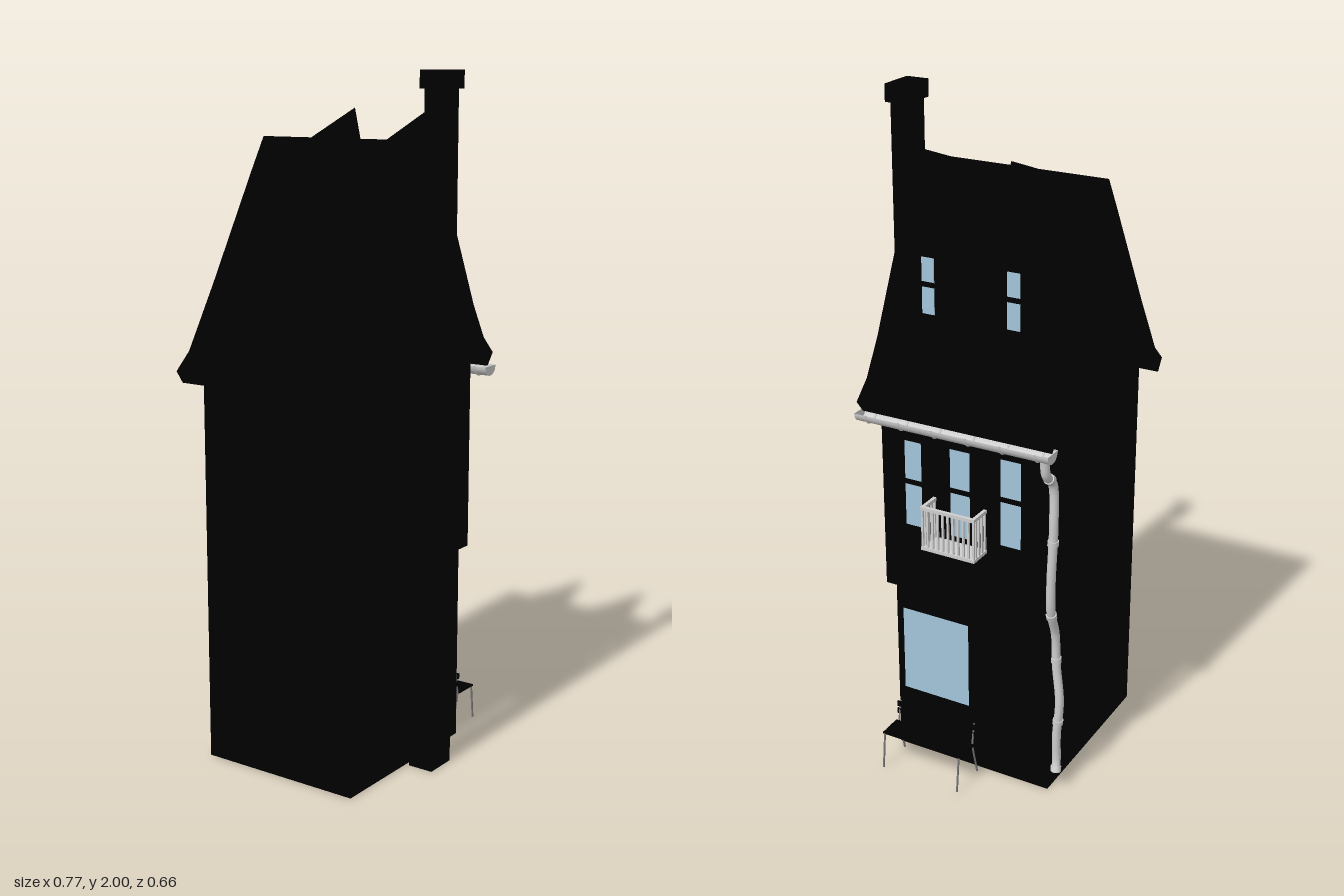
import * as THREE from 'three';

const mat = (name, color, side = THREE.FrontSide) => {
  const m = new THREE.MeshStandardMaterial({ color, side });
  m.name = name;
  return m;
};

export function createModel() {
  const house = new THREE.Group();
  house.name = 'townhouse';
  const black = mat('black masonry', 0x000000);
  const glass = mat('pale blue glass', 0xa3c4da);
  const metal = mat('light grey metal', 0xcfcfcf, THREE.DoubleSide);
  const iron = mat('dark grey iron', 0x777777);

  const add = (name, geo, material, parent = house) => {
    const m = new THREE.Mesh(geo, material);
    m.name = name;
    parent.add(m);
    return m;
  };
  // Box given by its min and max on each axis
  const box = (name, material, x0, x1, y0, y1, z0, z1, parent) =>
    add(name, new THREE.BoxGeometry(x1 - x0, y1 - y0, z1 - z0)
      .translate((x0 + x1) / 2, (y0 + y1) / 2, (z0 + z1) / 2), material, parent);
  const shapeOf = pts => new THREE.Shape(pts.map(p => new THREE.Vector2(...p)));
  const extrude = (shape, depth) => new THREE.ExtrudeGeometry(shape, { depth, bevelEnabled: false });
  // Straight round bar between two points
  const bar = (name, a, b, r, material, parent) => {
    const p = new THREE.Vector3(...a), q = new THREE.Vector3(...b), d = q.clone().sub(p);
    const m = add(name, new THREE.CylinderGeometry(r, r, d.length(), 8), material, parent);
    m.position.copy(p).add(q).multiplyScalar(0.5);
    m.quaternion.setFromUnitVectors(new THREE.Vector3(0, 1, 0), d.normalize());
    return m;
  };
  // Wall plate facing +x, pierced by openings [z0, z1, y0, y1]
  const facade = (name, x0, x1, y0, y1, z0, z1, openings) => {
    const s = shapeOf([[-z1, y0], [-z0, y0], [-z0, y1], [-z1, y1]]);
    for (const [a, b, c, d] of openings) {
      s.holes.push(new THREE.Path([[-b, c], [-b, d], [-a, d], [-a, c]].map(p => new THREE.Vector2(...p))));
    }
    add(name, extrude(s, x1 - x0).rotateY(Math.PI / 2).translate(x0, 0, 0), black);
  };

  // Main body with gables and jettied upper storey
  const Z0 = -0.283, Z1 = 0.228;
  add('body', extrude(shapeOf([
    [-0.32, 0], [0.2, 0], [0.2, 0.59], [0.26, 0.59], [0.26, 1.2], [0.21, 1.32],
    [0.02, 1.77], [-0.2, 1.39], [-0.32, 1.2],
  ]), Z1 - Z0).translate(0, 0, Z0), black);

  // Ground floor front: shop window and recessed door
  const shop = [-0.016, 0.212, 0.2, 0.483], door = [-0.19, -0.07, 0.02, 0.46];
  facade('groundFloorFront', 0.2, 0.24, 0, 0.59, Z0, Z1, [shop, door]);
  box('shopGlass', glass, 0.225, 0.232, 0.2, 0.483, -0.016, 0.212);
  box('door', black, 0.2, 0.208, 0.02, 0.46, -0.19, -0.07);
  for (const y of [0.06, 0.26]) box('doorPanel', black, 0.208, 0.213, y, y + 0.16, -0.17, -0.09);

  // Upper floor front with three sash windows
  const sashes = [
    [0.1, 0.166, 0.79, 1.065, 0.93],
    [-0.056, 0.018, 0.79, 1.07, 0.935],
    [-0.217, -0.143, 0.8, 1.075, 0.945],
  ];
  facade('upperFloorFront', 0.26, 0.292, 0.59, 1.16, -0.278, Z1, sashes);
  for (const [a, b, c, d, rail] of sashes) {
    box('upperGlass', glass, 0.265, 0.273, c, d, a, b);
    box('sashRail', black, 0.272, 0.28, rail - 0.006, rail + 0.006, a, b);
  }

  // Flared main roof
  add('mainRoof', extrude(shapeOf([
    [-0.385, 1.17], [-0.36, 1.133], [-0.32, 1.17], [-0.2, 1.36], [0.02, 1.75], [0.22, 1.31], [0.28, 1.19],
    [0.325, 1.143], [0.354, 1.18], [0.3, 1.232], [0.24, 1.335], [0.02, 1.81], [-0.04, 1.71], [-0.22, 1.4], [-0.33, 1.22],
  ]), 0.594).translate(0, 0, -0.327), black);

  // Two steep dormers
  for (const z of [0.1, -0.163]) {
    const dormer = new THREE.Group();
    dormer.name = 'dormer';
    dormer.position.z = z;
    house.add(dormer);
    add('dormerBody', extrude(shapeOf([
      [-0.05, 1.32], [0.05, 1.32], [0.05, 1.58], [0, 1.7], [-0.05, 1.58],
    ]), 0.185).rotateY(Math.PI / 2).translate(0.05, 0, 0), black, dormer);
    // Concave spire-like roof whose ridge rises towards the front
    const roof = extrude(shapeOf([
      [-0.075, 1.57], [-0.055, 1.565], [-0.028, 1.63], [0, 1.7], [0.028, 1.63], [0.055, 1.565], [0.075, 1.57],
      [0.04, 1.69], [0.02, 1.8], [0, 1.89], [-0.02, 1.8], [-0.04, 1.69],
    ]), 0.23).rotateY(Math.PI / 2).translate(0.022, 0, 0);
    const p = roof.attributes.position;
    for (let i = 0; i < p.count; i++) {
      const y = p.getY(i);
      p.setY(i, y - (0.252 - p.getX(i)) * 0.37 * Math.max(0, (y - 1.57) / 0.32));
    }
    roof.computeVertexNormals();
    add('dormerRoof', roof, black, dormer);
    box('dormerGlass', glass, 0.234, 0.238, 1.43, 1.59, -0.019, 0.019, dormer);
    box('dormerRail', black, 0.237, 0.241, 1.508, 1.522, -0.02, 0.02, dormer);
  }

  // Chimney stack standing beside the gable
  box('chimneyBase', black, -0.04, 0.06, 0, 1.15, 0.24, 0.318);
  box('chimneyStack', black, -0.04, 0.06, 1.15, 1.96, 0.23, 0.318).name = 'chimneyShoulder';
  house.getObjectByName('chimneyShoulder').geometry = new THREE.BoxGeometry(0.1, 0.81, 0.046).translate(0.01, 1.555, 0.295);
  box('chimneyCap', black, -0.046, 0.069, 1.95, 2, 0.26, 0.33);

  // Balcony
  const balcony = new THREE.Group();
  balcony.name = 'balcony';
  house.add(balcony);
  const bx0 = 0.29, bx1 = 0.364, by0 = 0.775, by1 = 0.91, bz0 = -0.11, bz1 = 0.062;
  box('balconyFloor', metal, bx0, bx1, by0, by0 + 0.01, bz0, bz1, balcony);
  box('frontRail', metal, bx1 - 0.01, bx1, by1 - 0.01, by1, bz0, bz1, balcony);
  for (const z of [bz0, bz1 - 0.01]) box('sideRail', metal, bx0, bx1, by1 - 0.01, by1, z, z + 0.01, balcony);
  for (let i = 0; i <= 10; i++) {
    const z = bz0 + 0.004 + i * (bz1 - bz0 - 0.008) / 10;
    box('baluster', metal, bx1 - 0.008, bx1 - 0.002, by0, by1, z - 0.003, z + 0.003, balcony);
  }
  for (const z of [bz0 + 0.005, bz1 - 0.005]) for (let i = 0; i < 4; i++) {
    const x = bx0 + 0.005 + i * 0.017;
    box('sideBaluster', metal, x - 0.003, x + 0.003, by0, by1, z - 0.003, z + 0.003, balcony);
  }

  // Half-round gutter with end caps and brackets
  const GX = 0.325, GY = 1.143, R = 0.029;
  add('gutter', new THREE.CylinderGeometry(R, R, 0.606, 16, 1, true, -Math.PI / 2, Math.PI)
    .rotateX(Math.PI / 2).translate(GX, GY, -0.026), metal);
  for (const z of [-0.329, 0.277]) {
    add('gutterEnd', new THREE.CircleGeometry(R, 16, Math.PI, Math.PI).translate(GX, GY, z), metal);
  }
  for (let i = 0; i < 6; i++) {
    add('gutterBracket', new THREE.TorusGeometry(R, 0.003, 6, 12, Math.PI)
      .rotateZ(Math.PI).translate(GX, GY, -0.29 + i * 0.106), metal);
  }

  // Crooked downpipe with collars
  const path = new THREE.CatmullRomCurve3([
    [0.325, 1.12, -0.305], [0.315, 1.07, -0.305], [0.275, 1.03, -0.305], [0.27, 0.9, -0.307], [0.268, 0.72, -0.3],
    [0.258, 0.62, -0.296], [0.222, 0.53, -0.292], [0.215, 0.42, -0.294], [0.215, 0.3, -0.306], [0.213, 0.18, -0.297],
    [0.213, 0.09, -0.298], [0.225, 0.058, -0.302],
  ].map(p => new THREE.Vector3(...p)));
  add('downpipe', new THREE.TubeGeometry(path, 80, 0.013, 12), metal);
  for (const t of [0.14, 0.3, 0.47, 0.62, 0.78, 0.97]) {
    const collar = add('pipeCollar', new THREE.CylinderGeometry(0.016, 0.016, 0.016, 12), metal);
    collar.position.copy(path.getPoint(t));
    collar.quaternion.setFromUnitVectors(new THREE.Vector3(0, 1, 0), path.getTangent(t));
  }

  // Street bench
  const bench = new THREE.Group();
  bench.name = 'bench';
  house.add(bench);
  for (const z of [-0.055, 0.202]) {
    bar('benchBackLeg', [0.262, 0, z], [0.29, 0.11, z], 0.003, iron, bench);
    bar('benchFrontLeg', [0.382, 0, z], [0.37, 0.11, z], 0.003, iron, bench);
    bar('benchSeatRail', [0.29, 0.108, z], [0.372, 0.108, z], 0.003, iron, bench);
    bar('benchBackPost', [0.29, 0.108, z], [0.277, 0.178, z], 0.003, iron, bench);
  }
  for (let i = 0; i < 4; i++) {
    const x = 0.292 + i * 0.02;
    box('seatSlat', black, x, x + 0.016, 0.11, 0.115, -0.063, 0.21, bench);
  }
  for (const y of [0.135, 0.16]) box('backSlat', black, 0.28, 0.285, y, y + 0.017, -0.063, 0.21, bench);

  return house;
}
